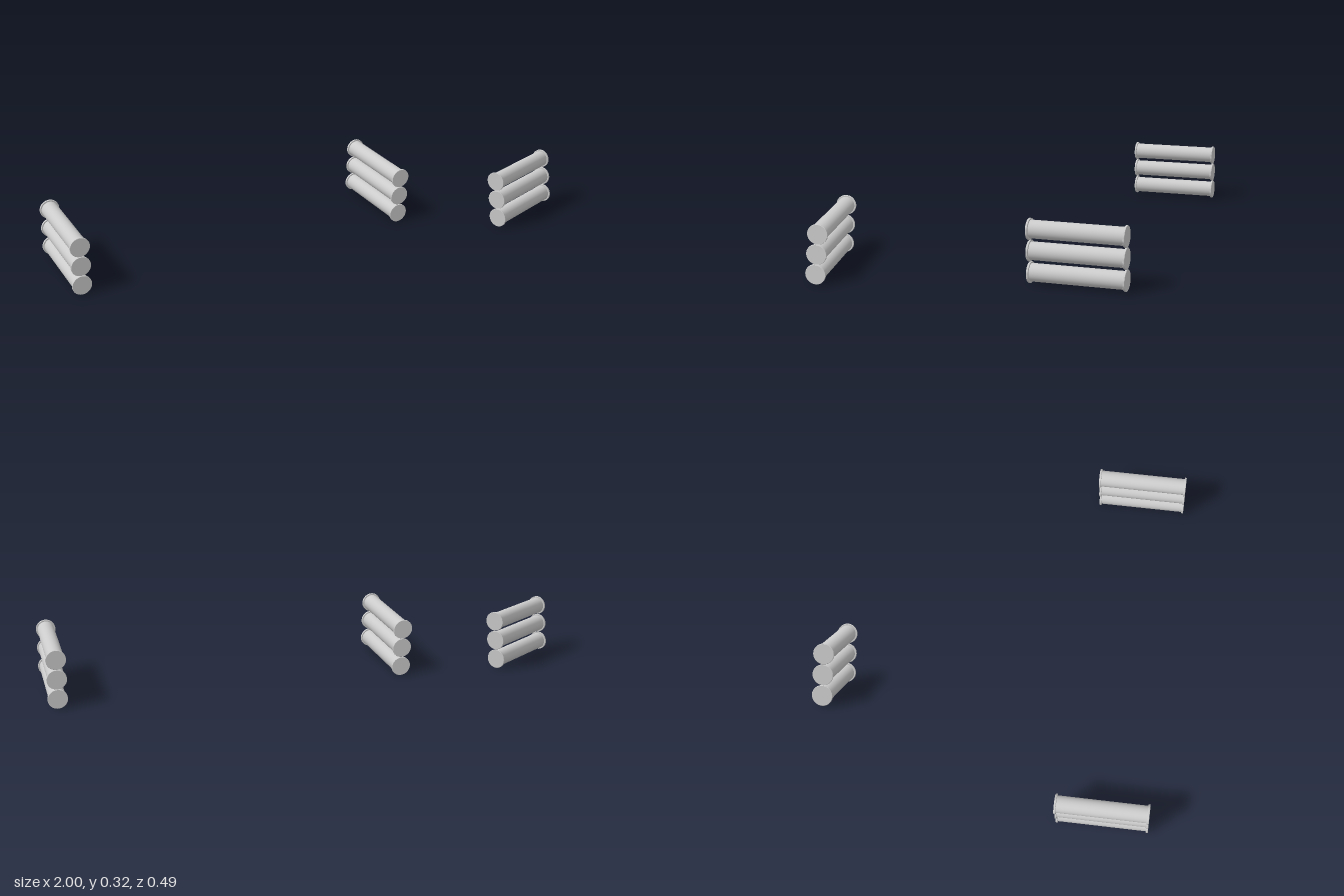
import * as THREE from 'three';
import { toCreasedNormals } from 'three/addons/utils/BufferGeometryUtils.js';

const FLANGE_R = 0.053, BODY_R = 0.045, HALF = 0.246, FLANGE_T = 0.011, PITCH = 0.108, BEVEL = 0.0015;
const SEGMENTS = 48;

export function createModel() {
  const model = new THREE.Group();
  model.name = 'rollerStacks';
  const material = new THREE.MeshStandardMaterial({ color: 0xcccccc });

  // Roller barrel along z, open where the end flanges cover it
  const barrelGeometry = new THREE.CylinderGeometry(BODY_R, BODY_R, 2 * (HALF - FLANGE_T), SEGMENTS, 1, true);
  barrelGeometry.rotateX(Math.PI / 2);

  // End flange: thin disc with slightly eased rims
  const profile = [
    [0, 0], [FLANGE_R - BEVEL, 0], [FLANGE_R, BEVEL],
    [FLANGE_R, FLANGE_T - BEVEL], [FLANGE_R - BEVEL, FLANGE_T], [0, FLANGE_T],
  ].map(([r, y]) => new THREE.Vector2(r, y));
  const flangeGeometry = toCreasedNormals(new THREE.LatheGeometry(profile, SEGMENTS), 0.5);
  flangeGeometry.rotateX(Math.PI / 2);

  const addMesh = (parent, geometry, name) => {
    const mesh = new THREE.Mesh(geometry, material);
    mesh.name = name;
    parent.add(mesh);
    return mesh;
  };

  // A stack of three rollers on each side
  for (const side of [1, -1]) {
    const stack = new THREE.Group();
    stack.name = side > 0 ? 'leftStack' : 'rightStack';
    stack.position.x = side * (1 - FLANGE_R);
    for (let i = 0; i < 3; i++) {
      const roller = new THREE.Group();
      roller.name = 'roller' + (i + 1);
      roller.position.y = FLANGE_R + i * PITCH;
      addMesh(roller, barrelGeometry, 'barrel');
      addMesh(roller, flangeGeometry, 'frontFlange').position.z = HALF - FLANGE_T;
      addMesh(roller, flangeGeometry, 'backFlange').position.z = -HALF;
      stack.add(roller);
    }
    model.add(stack);
  }
  return model;
}
